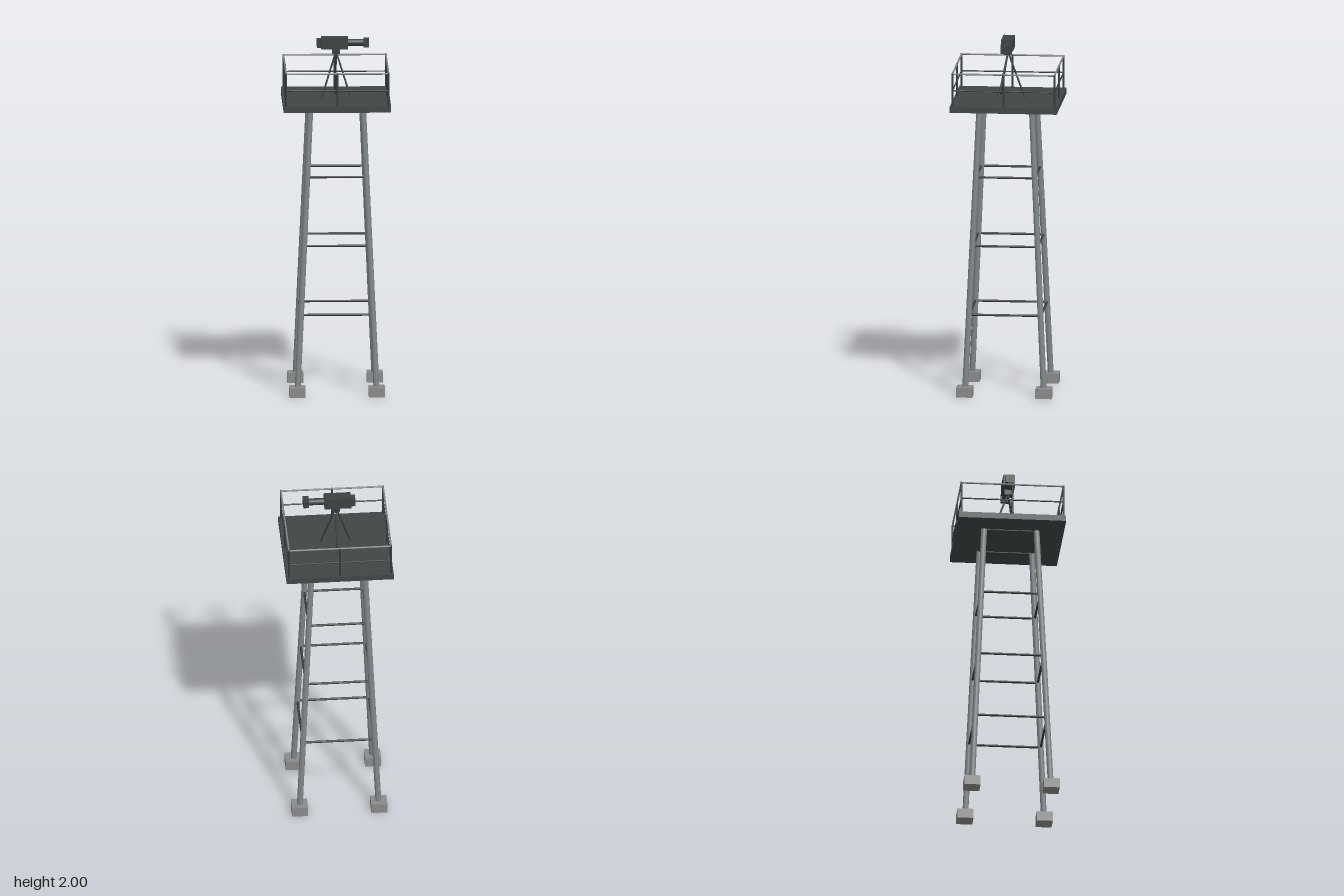
import * as THREE from 'three';

const mat = (name, color) => {
  const m = new THREE.MeshStandardMaterial({ color });
  m.name = name;
  return m;
};

export function createModel() {
  const steel = mat('steel', 0x7f8788);
  const darkSteel = mat('dark steel', 0x363c3c);
  const deckPaint = mat('deck paint', 0x404646);
  const concrete = mat('concrete', 0x8a8a8a);
  const housing = mat('housing', 0x3b4141);

  const model = new THREE.Group();
  model.name = 'watchtower';

  const section = (name) => {
    const g = new THREE.Group();
    g.name = name;
    model.add(g);
    return g;
  };
  const box = (parent, name, size, pos, material) => {
    const m = new THREE.Mesh(new THREE.BoxGeometry(...size), material);
    m.position.set(...pos);
    m.name = name;
    parent.add(m);
  };
  // Round bar between two points
  const bar = (parent, name, a, b, radius, material, sides = 12) => {
    const p = new THREE.Vector3(...a), q = new THREE.Vector3(...b);
    const dir = q.clone().sub(p);
    const m = new THREE.Mesh(new THREE.CylinderGeometry(radius, radius, dir.length(), sides), material);
    m.position.copy(p).add(q).multiplyScalar(0.5);
    m.quaternion.setFromUnitVectors(new THREE.Vector3(0, 1, 0), dir.normalize());
    m.name = name;
    parent.add(m);
  };
  const corners = [[1, 1], [-1, 1], [-1, -1], [1, -1]];

  // Footings and inward-leaning legs
  const tower = section('tower');
  const spread = (y) => 0.222 - 0.075 * y / 1.63;
  for (const [sx, sz] of corners) {
    box(tower, 'footing', [0.09, 0.056, 0.09], [sx * 0.222, 0.028, sz * 0.222], concrete);
    const lo = spread(0.04), hi = spread(1.635);
    bar(tower, 'leg', [sx * lo, 0.04, sz * lo], [sx * hi, 1.635, sz * hi], 0.0165, steel, 16);
  }

  // Horizontal braces, the highest set tucked under the deck
  for (const y of [0.46, 0.848, 1.236, 1.625]) {
    const s = spread(y);
    corners.forEach(([ax, az], i) => {
      const [bx, bz] = corners[(i + 1) % 4];
      bar(tower, 'brace', [ax * s, y, az * s], [bx * s, y, bz * s], 0.0065, darkSteel);
    });
  }

  // Deck
  box(model, 'deck', [0.6, 0.034, 0.6], [0, 1.644, 0], deckPaint);

  // Railing: corner and middle posts with two rails per side
  const railing = section('railing');
  const r = 0.286;
  corners.forEach(([ax, az], i) => {
    const [bx, bz] = corners[(i + 1) % 4];
    const mx = (ax + bx) / 2, mz = (az + bz) / 2;
    for (const [px, pz] of [[ax, az], [mx, mz]]) {
      bar(railing, 'post', [px * r, 1.655, pz * r], [px * r, 1.849, pz * r], 0.0055, darkSteel);
    }
    bar(railing, 'topRail', [ax * r, 1.845, az * r], [bx * r, 1.845, bz * r], 0.005, steel);
    bar(railing, 'middleRail', [ax * r, 1.75, az * r], [bx * r, 1.75, bz * r], 0.004, darkSteel);
  });

  // Tripod
  const tripod = section('tripod');
  for (let i = 0; i < 3; i++) {
    const a = Math.PI / 6 + i * Math.PI * 2 / 3;
    const c = Math.cos(a), s = Math.sin(a);
    bar(tripod, 'tripodLeg', [c * 0.095, 1.66, s * 0.095], [c * 0.003, 1.912, s * 0.003], 0.005, darkSteel);
  }
  box(tripod, 'mount', [0.042, 0.03, 0.042], [0, 1.922, 0], darkSteel);

  // Camera pointing to +x
  const camera = section('camera');
  box(camera, 'body', [0.15, 0.064, 0.066], [-0.008, 1.968, 0], housing);
  box(camera, 'rearCap', [0.026, 0.048, 0.046], [-0.094, 1.966, 0], housing);
  bar(camera, 'lensBarrel', [0.06, 1.969, 0], [0.16, 1.969, 0], 0.0195, housing, 24);
  box(camera, 'lensHood', [0.031, 0.047, 0.052], [0.169, 1.969, 0], housing);

  return model;
}
